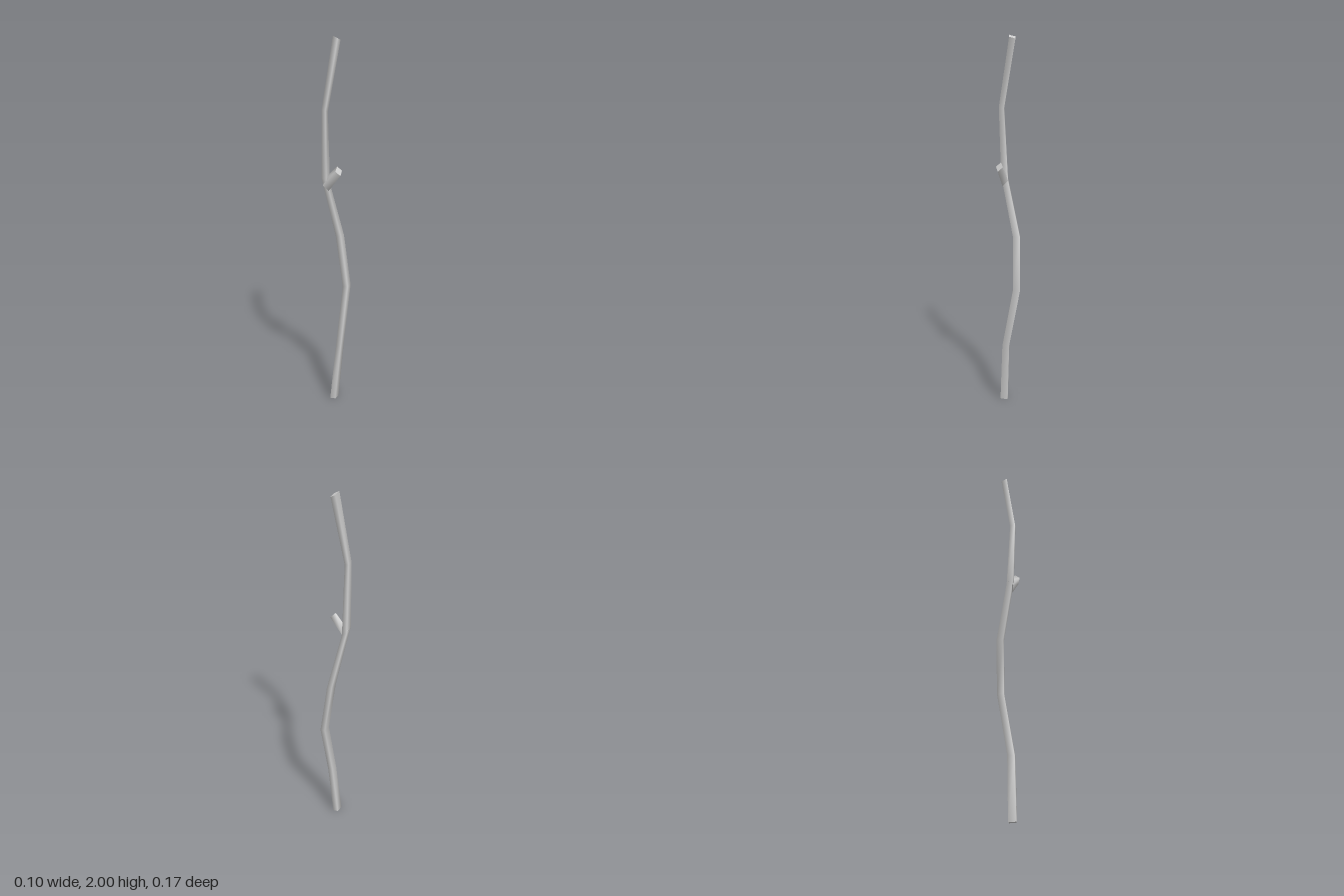
import * as THREE from 'three';

const material = new THREE.MeshStandardMaterial({ color: 0xcccccc });

// Skin a list of four-cornered rings, with smooth sides and flat end caps
function loft(rings, name) {
  const n = rings[0].length;
  const pos = rings.flat(2);
  const index = [];
  for (let i = 0; i < rings.length - 1; i++) {
    for (let j = 0; j < n; j++) {
      const a = i * n + j, b = i * n + (j + 1) % n;
      index.push(a, a + n, b, b, a + n, b + n);
    }
  }
  const start = pos.length / 3;
  pos.push(...rings[0].flat(), ...rings[rings.length - 1].flat());
  for (let j = 1; j < n - 1; j++) {
    index.push(start, start + j, start + j + 1);
    index.push(start + n, start + n + j + 1, start + n + j);
  }
  const geo = new THREE.BufferGeometry();
  geo.setAttribute('position', new THREE.Float32BufferAttribute(pos, 3));
  geo.setIndex(index);
  geo.computeVertexNormals();
  const mesh = new THREE.Mesh(geo, material);
  mesh.name = name;
  return mesh;
}

export function createModel() {
  const group = new THREE.Group();
  group.name = 'stick';

  // Main stem: centre x, y, z, half width in x and z, ring tilt along x and z
  const section = [[-1, -0.42], [0.2, -1], [1, 0.36], [-0.2, 1]];
  const stem = [
    [0.001, 0, 0.030, 0.019, 0.029, 0, 0],
    [0.018, 0.33, 0.003, 0.018, 0.027, 0, -0.2],
    [0.003, 0.66, -0.060, 0.017, 0.027, 0, 0],
    [-0.026, 0.95, -0.035, 0.018, 0.027, 0, 0.1],
    [-0.036, 1.265, 0.056, 0.017, 0.027, 0, 0.7],
    [-0.027, 1.63, 0.068, 0.014, 0.019, 0, 0.3],
    [-0.022, 1.985, -0.009, 0.016, 0.023, -0.3, 0.4],
  ];
  group.add(loft(stem.map(([x, y, z, rx, rz, tx, tz]) =>
    section.map(([sx, sz]) => [x + sx * rx, y + sx * rx * tx + sz * rz * tz, z + sz * rz])), 'stem'));

  // Short cut-off side branch, slightly wider where it leaves the stem
  const branch = [
    [-0.034, 1.243, 0.053, 0.018, 0.029, 0.024],
    [0.037, 1.324, 0.030, 0.013, 0.023, 0.0235],
  ];
  group.add(loft(branch.map(([x, y, z, ux, uy, v]) => [
    [x - ux, y + uy, z], [x, y, z - v], [x + ux, y - uy, z], [x, y, z + v],
  ]), 'sideBranch'));

  return group;
}
